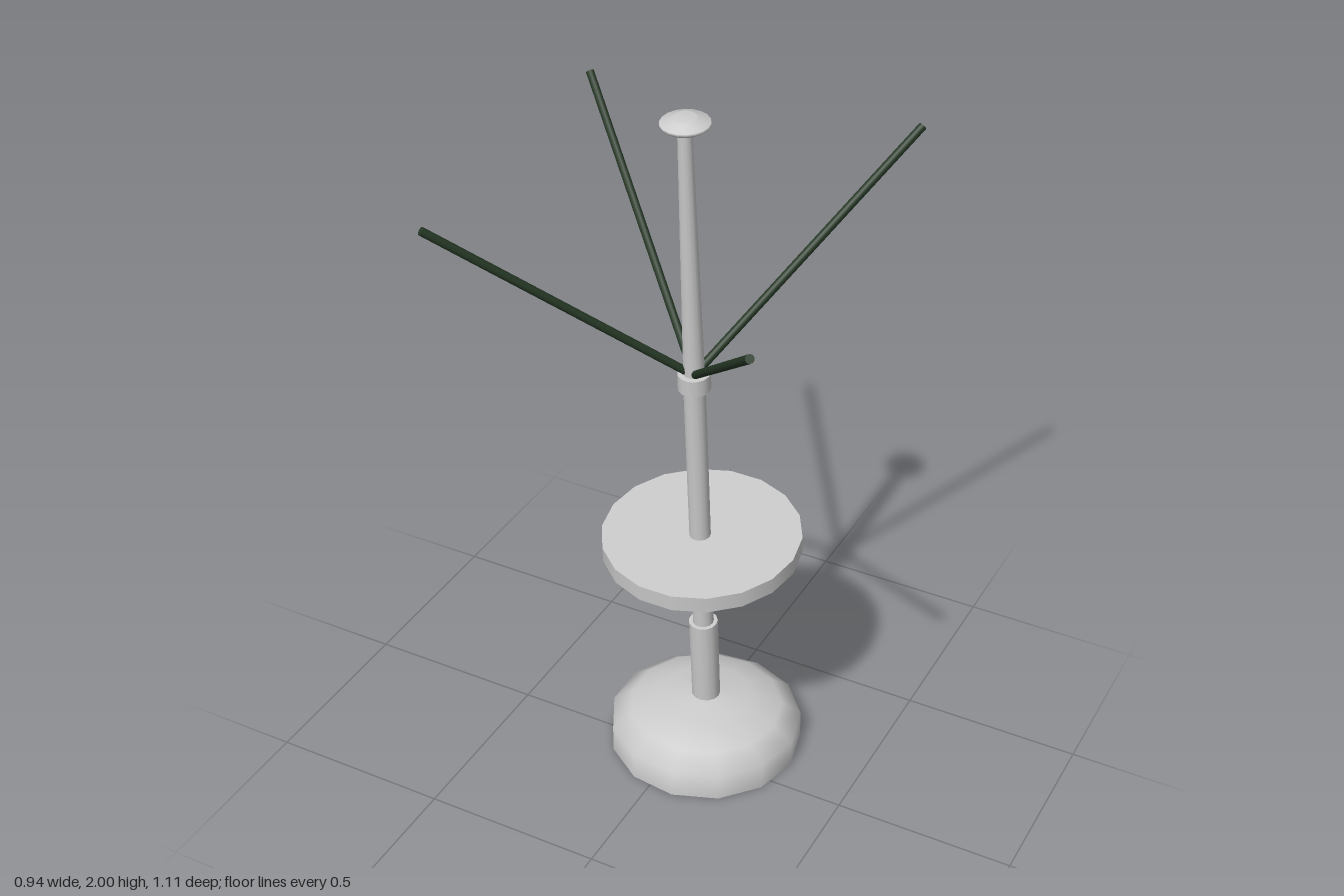
import * as THREE from 'three';

const grey = new THREE.MeshStandardMaterial({ color: 0xcccccc, side: THREE.DoubleSide });
const green = new THREE.MeshStandardMaterial({ color: 0x263826 });

function add(parent, name, geometry, material = grey) {
  const mesh = new THREE.Mesh(geometry, material);
  mesh.name = name;
  parent.add(mesh);
  return mesh;
}

const lathe = (points, sides) => new THREE.LatheGeometry(
  points.map(([r, y]) => new THREE.Vector2(r, y)), sides, Math.PI / 2);

// Upright cylinder between two heights
function post(parent, name, y0, y1, r0, r1, sides) {
  const mesh = add(parent, name,
    new THREE.CylinderGeometry(r1, r0, y1 - y0, sides, 1, false, Math.PI / 2));
  mesh.position.y = (y0 + y1) / 2;
  return mesh;
}

export function createModel() {
  const model = new THREE.Group();
  model.name = 'umbrellaStand';

  // Hollow domed base, open underneath
  const base = add(model, 'base', lathe(
    [[0.27, 0], [0.27, 0.08], [0.215, 0.12], [0.127, 0.15], [0, 0.165]], 13));
  base.position.set(0.04, 0, -0.09);

  // Everything on the pole leans slightly forward
  const pole = new THREE.Group();
  pole.name = 'leaningPole';
  pole.position.set(0.04, 0, -0.1015);
  pole.rotation.x = Math.atan(0.075);
  model.add(pole);

  post(pole, 'lowerSleeve', 0.09, 0.432, 0.04, 0.04, 13);
  post(pole, 'middlePole', 0.42, 1.26, 0.029, 0.029, 13);
  post(pole, 'upperPole', 1.26, 1.985, 0.028, 0.018, 13);
  post(pole, 'collar', 1.225, 1.272, 0.043, 0.043, 13);
  post(pole, 'tableTop', 0.695, 0.742, 0.27, 0.27, 18).position.z = -0.01;

  // Flat cap with a small raised crown
  const cap = add(pole, 'cap', lathe(
    [[0, 0], [0.05, 0], [0.063, 0.009], [0.061, 0.015], [0.031, 0.026], [0.028, 0.029], [0, 0.03]], 18));
  cap.position.set(0, 1.972, -0.004);

  // Four ribs fanning out from the collar
  const hub = new THREE.Vector3(0.04, 1.26, -0.007);
  const tips = [[0.40, 1.8, -0.55], [-0.463, 1.83, -0.385], [-0.455, 1.755, 0.43], [0.46, 1.73, 0.543]];
  for (const tip of tips) {
    const dir = new THREE.Vector3(...tip).sub(hub);
    const rib = add(model, 'rib', new THREE.CylinderGeometry(0.011, 0.011, dir.length(), 10), green);
    rib.position.copy(hub).addScaledVector(dir, 0.5);
    rib.quaternion.setFromUnitVectors(new THREE.Vector3(0, 1, 0), dir.normalize());
  }
  return model;
}
